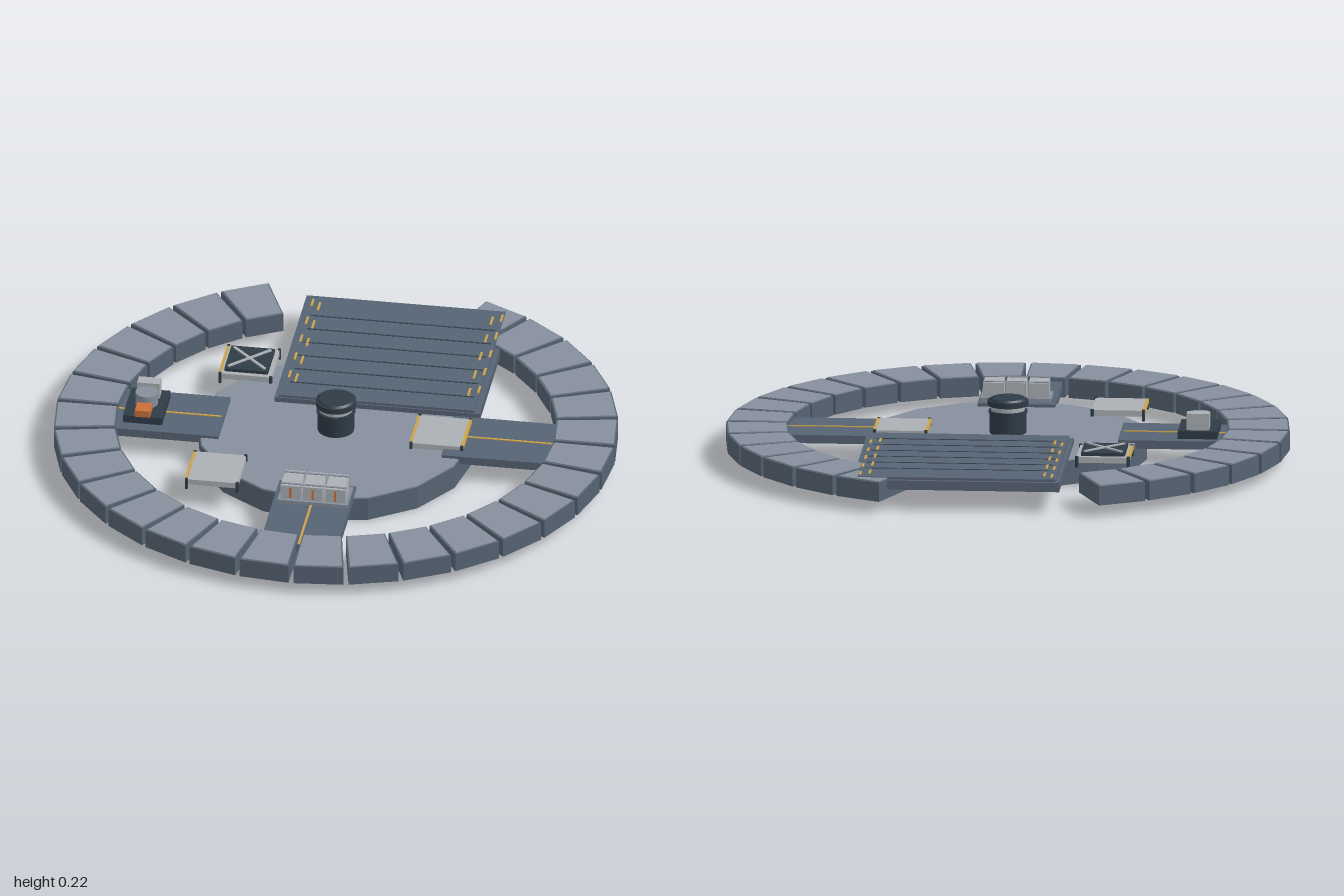
import * as THREE from 'three';

const CZ = -0.04; // centre of the ring along z

const mat = (name, color) => {
  const m = new THREE.MeshStandardMaterial({ color });
  m.name = name;
  return m;
};

export function createModel() {
  const hull = mat('slate hull', 0x566373);
  const plating = mat('grey plating', 0x858f9c);
  const light = mat('light panel', 0xabb0b4);
  const dark = mat('dark metal', 0x2e3b46);
  const groove = mat('seam', 0x36424e);
  const orange = mat('orange', 0xc96f3a);
  const yellow = mat('marking yellow', 0xcaa24a);

  const root = new THREE.Group();
  root.name = 'station';

  const group = (name, x = 0, z = 0, ry = 0) => {
    const g = new THREE.Group();
    g.name = name;
    g.position.set(x, 0, z);
    g.rotation.y = ry;
    root.add(g);
    return g;
  };
  const add = (parent, name, geo, material) => {
    const m = new THREE.Mesh(geo, material);
    m.name = name;
    parent.add(m);
    return m;
  };
  // Box given by its extents on each axis
  const box = (parent, name, [x0, x1], [y0, y1], [z0, z1], material) => {
    const m = add(parent, name, new THREE.BoxGeometry(x1 - x0, y1 - y0, z1 - z0), material);
    m.position.set((x0 + x1) / 2, (y0 + y1) / 2, (z0 + z1) / 2);
    return m;
  };
  const cyl = (parent, name, r, y0, y1, material, sides = 24, r2 = r) => {
    const g = new THREE.CylinderGeometry(r2, r, y1 - y0, sides);
    const m = add(parent, name, g, material);
    m.position.y = (y0 + y1) / 2;
    return m;
  };
  // Upright prism over a ring sector with straight sides
  const sector = (r0, r1, a0, a1, y0, y1) => {
    const p = (r, a) => new THREE.Vector2(r * Math.sin(a), -r * Math.cos(a));
    const shape = new THREE.Shape([p(r0, a0), p(r1, a0), p(r1, a1), p(r0, a1)]);
    const geo = new THREE.ExtrudeGeometry(shape, { depth: y1 - y0, bevelEnabled: false });
    return geo.rotateX(-Math.PI / 2).translate(0, y0, 0);
  };

  // Outer ring: 32 places, four left open at the back
  const ring = group('outerRing', 0, CZ);
  const step = Math.PI / 16, gap = 0.0087;
  for (let i = -14; i < 14; i++) {
    const a0 = i * step + gap, a1 = (i + 1) * step - gap;
    add(ring, 'ringSegment', sector(0.78, 1, a0, a1, 0.042, 0.111), hull);
    add(ring, 'ringSegmentTop', sector(0.786, 0.994, a0 + 0.006, a1 - 0.006, 0.111, 0.115), plating);
  }

  // Central disc
  const hub = group('centralDisc', 0, CZ);
  const flat = (m) => {
    m.geometry = m.geometry.toNonIndexed();
    m.geometry.computeVertexNormals();
  };
  flat(cyl(hub, 'discBody', 0.493, 0, 0.086, hull, 16));
  flat(cyl(hub, 'discTop', 0.489, 0.086, 0.09, plating, 16));

  // Control tower
  const tower = group('tower', 0, CZ);
  cyl(tower, 'towerBody', 0.065, 0.09, 0.165, dark);
  cyl(tower, 'towerCollar', 0.07, 0.165, 0.172, dark);
  cyl(tower, 'towerWindowBand', 0.06, 0.172, 0.19, light);
  cyl(tower, 'towerCap', 0.072, 0.19, 0.21, dark);
  cyl(tower, 'towerRoof', 0.066, 0.21, 0.217, dark, 24, 0.06);

  // Three arms with a centre line: front, left, right
  [0, Math.PI / 2, -Math.PI / 2].forEach((ry) => {
    const arm = group('arm', 0, CZ, ry);
    box(arm, 'armDeck', [-0.138, 0.138], [0.07, 0.1], [0.4, 0.83], hull);
    box(arm, 'armLine', [-0.004, 0.004], [0.1, 0.103], [0.41, 0.83], yellow);
  });

  // Landing deck at the back
  const deck = group('landingDeck');
  box(deck, 'deckBase', [-0.245, 0.49], [0.075, 0.108], [-0.905, -0.19], hull);
  box(deck, 'deckPlate', [-0.23, 0.472], [0.108, 0.117], [-0.89, -0.195], hull);
  for (let i = 0; i < 6; i++) {
    const z = -0.754 + i * 0.093;
    box(deck, 'deckSeam', [-0.205, 0.455], [0.117, 0.1185], [z - 0.003, z + 0.003], groove);
  }
  for (let i = 0; i < 5; i++) {
    const z = -0.865 + i * 0.125;
    for (const x of [-0.214, 0.465]) {
      box(deck, 'edgeDash', [x - 0.004, x + 0.004], [0.117, 0.12], [z, z + 0.048], yellow);
    }
    for (const x of [-0.187, 0.433]) {
      box(deck, 'innerDash', [x - 0.004, x + 0.004], [0.117, 0.12], [z + 0.02, z + 0.075], yellow);
    }
  }

  // Small pads with corner posts and an orange edge
  const pad = (name, x, z, sides) => {
    const g = group(name, x, z);
    box(g, 'padPlate', [-0.093, 0.093], [0.092, 0.113], [-0.098, 0.098], light);
    for (const s of sides) {
      box(g, 'padEdge', [s * 0.092 - 0.005, s * 0.092 + 0.005], [0.1, 0.115], [-0.094, 0.094], yellow);
    }
    for (const sx of [-1, 1]) for (const sz of [-1, 1]) {
      const post = cyl(g, 'padPost', 0.006, 0.075, 0.116, dark, 8);
      post.position.x = sx * 0.091;
      post.position.z = sz * 0.097;
    }
    return g;
  };
  pad('frontPad', -0.37, 0.33, [-1]);
  pad('sidePad', 0.375, -0.045, [-1, 1]);
  const hatch = pad('hatchPad', -0.37, -0.412, [-1]);
  box(hatch, 'hatchPlate', [-0.078, 0.078], [0.113, 0.125], [-0.08, 0.08], dark);
  for (const s of [-1, 1]) {
    const bar = box(hatch, 'hatchCross', [-0.093, 0.093], [0.125, 0.13], [-0.005, 0.005], light);
    bar.rotation.y = s * Math.PI / 4;
  }

  // Cargo containers on the front arm
  const cargo = group('cargo', 0.005, 0.452);
  box(cargo, 'cargoTray', [-0.125, 0.125], [0.1, 0.114], [-0.062, 0.065], plating);
  for (const x of [-0.08, 0, 0.08]) {
    box(cargo, 'container', [x - 0.035, x + 0.035], [0.114, 0.168], [-0.055, 0.055], light);
    for (const z of [-0.04, 0.04]) {
      box(cargo, 'containerRib', [x - 0.036, x + 0.036], [0.114, 0.171], [z - 0.004, z + 0.004], plating);
    }
    box(cargo, 'containerStripe', [x - 0.004, x + 0.004], [0.12, 0.162], [0.055, 0.058], orange);
  }

  // Machinery on the right arm
  const plant = group('machinery', -0.68, -0.045);
  box(plant, 'machineBase', [-0.07, 0.07], [0.1, 0.128], [-0.097, 0.097], dark);
  box(plant, 'machineBlock', [-0.04, 0.04], [0.128, 0.188], [-0.08, -0.036], light);
  cyl(plant, 'machineTank', 0.04, 0.128, 0.175, plating, 16);
  box(plant, 'machineCrate', [-0.027, 0.027], [0.128, 0.153], [0.04, 0.1], orange);

  return root;
}
